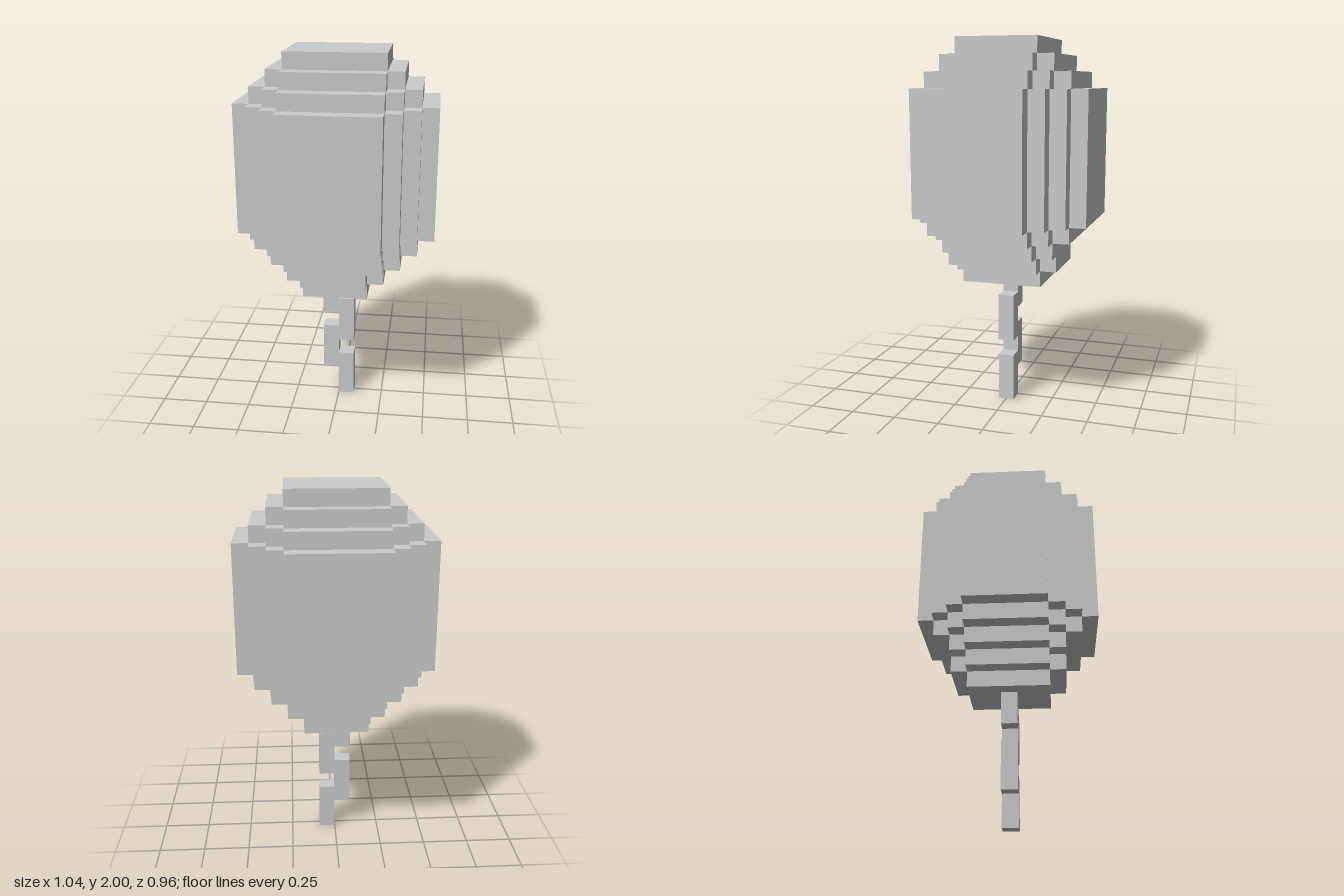
import * as THREE from 'three';

const U = 2 / 23; // one block
const material = new THREE.MeshStandardMaterial({ color: 0xcccccc, flatShading: true });

// Outline with stair-stepped corners: each step is one block narrower in x and one deeper in z
function steppedOutline(halfX, halfZ, steps) {
  const corner = [];
  for (let i = 0; i < steps; i++) {
    if (i > 0) corner.push([halfX - i, halfZ + i - 1]);
    corner.push([halfX - i, halfZ + i]);
  }
  const back = [...corner].reverse();
  const points = [
    ...corner,
    ...back.map(([x, z]) => [-x, z]),
    ...corner.map(([x, z]) => [-x, -z]),
    ...back.map(([x, z]) => [x, -z]),
  ];
  return new THREE.Shape(points.map(([x, z]) => new THREE.Vector2(x * U, z * U)));
}

function extrude(shape, blocks) {
  return new THREE.ExtrudeGeometry(shape, { depth: blocks * U, bevelEnabled: false });
}

function addMesh(parent, name, geometry) {
  const mesh = new THREE.Mesh(geometry, material);
  mesh.name = name;
  parent.add(mesh);
  return mesh;
}

export function createModel() {
  const model = new THREE.Group();
  model.name = 'balloon';

  // Balloon body: stacked layers [bottom, height, half width, corner steps], in blocks
  const body = new THREE.Group();
  body.name = 'balloonBody';
  model.add(body);
  const layers = [
    [8, 1, 2, 1],
    [9, 1, 3, 2],
    [10, 1, 4, 2],
    [11, 1, 5, 3],
    [12, 8, 6, 4],
    [20, 1, 5, 3],
    [21, 1, 4, 2],
    [22, 1, 3, 1],
  ];
  layers.forEach(([bottom, height, halfX, steps], i) => {
    const geometry = extrude(steppedOutline(halfX, 2.5, steps), height);
    geometry.rotateX(-Math.PI / 2);
    addMesh(body, `bodyLayer${i + 1}`, geometry).position.y = bottom * U;
  });

  // Zigzag string, one block deep
  const zigzag = [
    [0, 0], [1, 0], [1, 3], [0, 3], [0, 4], [1, 4], [1, 7], [0, 7], [0, 8],
    [-1, 8], [-1, 6], [0, 6], [0, 5], [-1, 5], [-1, 2], [0, 2],
  ];
  const shape = new THREE.Shape(zigzag.map(([x, y]) => new THREE.Vector2(x * U, y * U)));
  addMesh(model, 'string', extrude(shape, 1)).position.z = -U / 2;

  return model;
}
